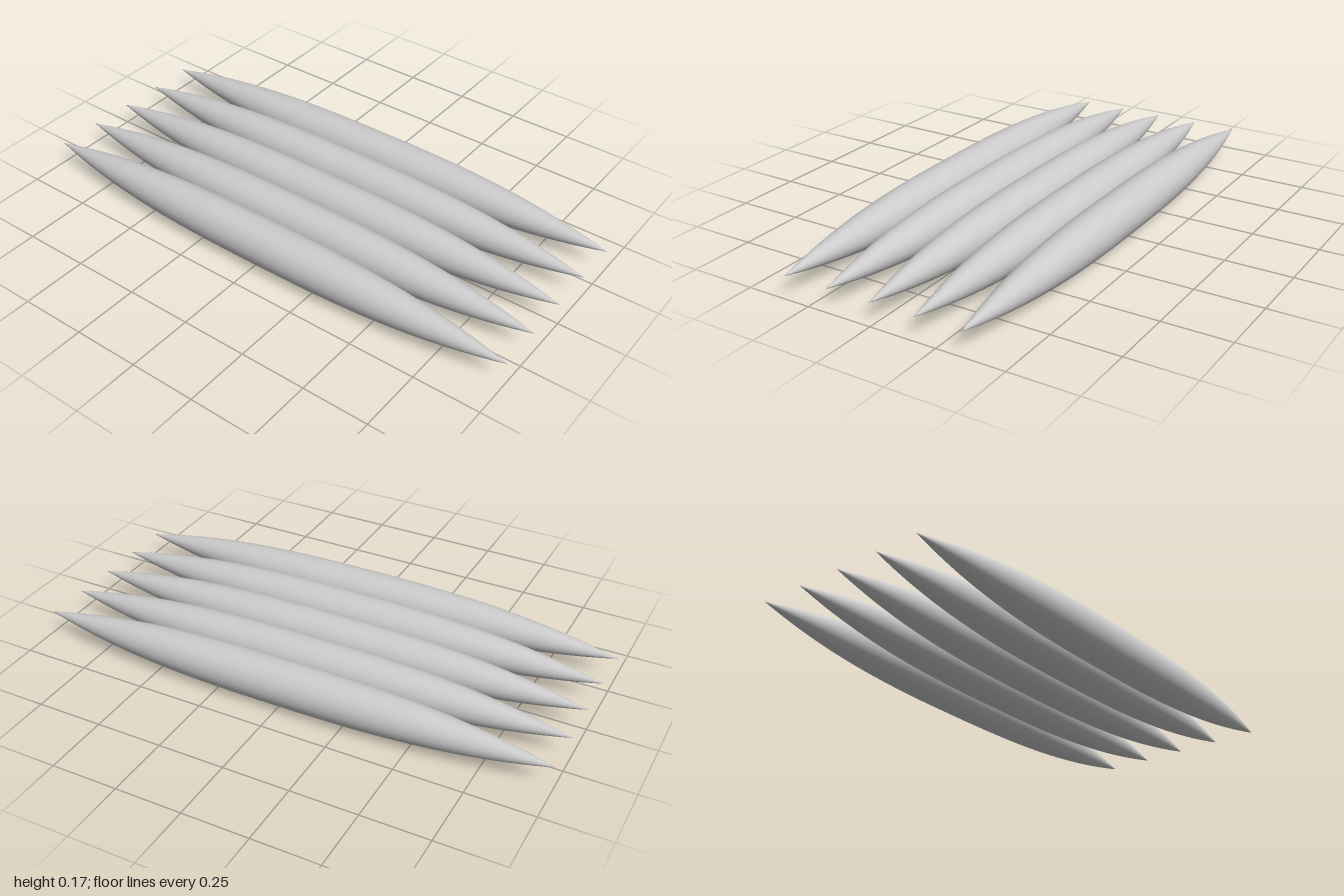
import * as THREE from 'three';
import { mergeVertices } from 'three/addons/utils/BufferGeometryUtils.js';

const COUNT = 5, SPACING = 0.1715, RADIUS = 0.0835;
const RIBS = 48, RINGS = 56, RIB_DEPTH = 0.0016;

// Pointed spindle along z with fine lengthwise ribs that fade out towards the tips
function spindleGeometry() {
  const profile = [];
  for (let i = 0; i <= RINGS; i++) {
    const t = -Math.cos((Math.PI * i) / RINGS) * 0.4 + (i / RINGS * 2 - 1) * 0.6;
    profile.push(new THREE.Vector2(Math.max(0, RADIUS * (1 - Math.abs(t) ** 2.7)), t));
  }
  let geometry = new THREE.LatheGeometry(profile, RIBS * 2);
  geometry.deleteAttribute('uv');
  geometry.deleteAttribute('normal');

  // Sink every second line of vertices to form the grooves
  const position = geometry.attributes.position;
  for (let i = 0; i < position.count; i++) {
    const line = Math.floor(i / (RINGS + 1));
    const x = position.getX(i), y = position.getY(i), z = position.getZ(i);
    const r = Math.hypot(x, z);
    if (line % 2 === 0 || r < 1e-6) continue;
    const fade = 1 - THREE.MathUtils.smoothstep(Math.abs(y), 0.6, 0.85);
    const scale = (r - RIB_DEPTH * fade) / r;
    position.setXYZ(i, x * scale, y, z * scale);
  }
  geometry = mergeVertices(geometry, 1e-5);
  geometry.rotateX(Math.PI / 2);
  geometry.computeVertexNormals();
  return geometry;
}

export function createModel() {
  const model = new THREE.Group();
  model.name = 'spindleRow';
  const material = new THREE.MeshStandardMaterial({ color: 0xcccccc });
  const geometry = spindleGeometry();

  // Row of identical spindles side by side
  for (let i = 0; i < COUNT; i++) {
    const spindle = new THREE.Mesh(geometry, material);
    spindle.name = `spindle${i + 1}`;
    spindle.position.set((i - (COUNT - 1) / 2) * SPACING, RADIUS, 0);
    model.add(spindle);
  }
  return model;
}
